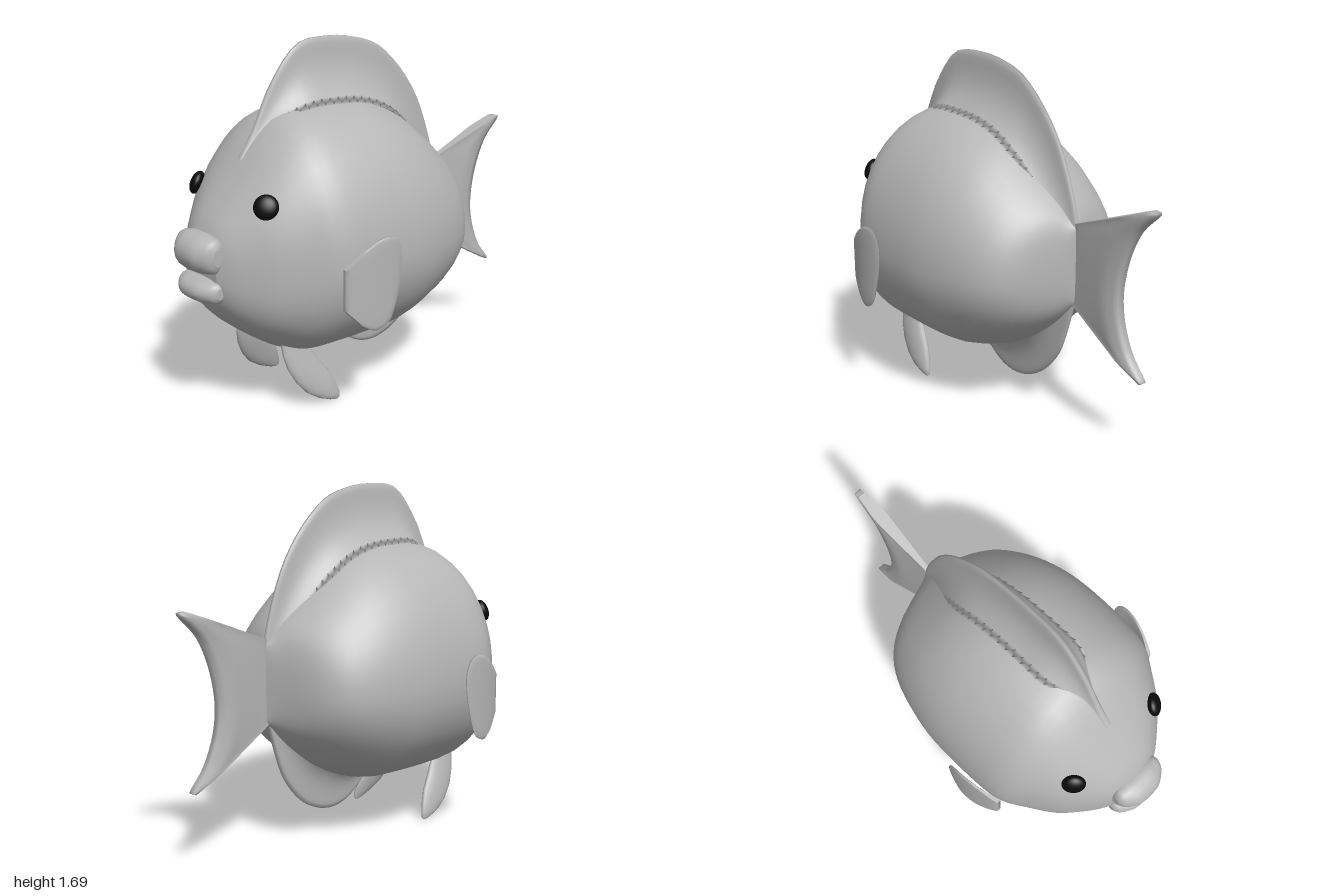
import * as THREE from 'three';

const skin = new THREE.MeshStandardMaterial({ color: 0xb6b6b6 });
skin.name = 'greySkin';
const black = new THREE.MeshStandardMaterial({ color: 0x0a0a0a });
black.name = 'eyeBlack';

// Skin a series of closed rings of [x, y, z]; ends are capped, winding is made outward
function loft(rings) {
  const n = rings[0].length, pos = rings.flat(2), idx = [];
  for (let r = 0; r < rings.length - 1; r++) {
    for (let i = 0; i < n; i++) {
      const a = r * n + i, b = r * n + (i + 1) % n;
      idx.push(a, b, b + n, a, b + n, a + n);
    }
  }
  [rings[0], rings[rings.length - 1]].forEach((ring, end) => {
    const start = pos.length / 3;
    const c = [0, 1, 2].map(k => ring.reduce((sum, p) => sum + p[k], 0) / n);
    pos.push(...ring.flat(), ...c);
    for (let i = 0; i < n; i++) {
      const a = start + i, b = start + (i + 1) % n;
      if (end) idx.push(a, b, start + n); else idx.push(b, a, start + n);
    }
  });
  let volume = 0;
  const A = new THREE.Vector3(), B = new THREE.Vector3(), C = new THREE.Vector3();
  for (let i = 0; i < idx.length; i += 3) {
    A.fromArray(pos, idx[i] * 3); B.fromArray(pos, idx[i + 1] * 3); C.fromArray(pos, idx[i + 2] * 3);
    volume += A.dot(B.cross(C));
  }
  if (volume < 0) idx.reverse();
  const g = new THREE.BufferGeometry();
  g.setAttribute('position', new THREE.Float32BufferAttribute(pos, 3));
  g.setIndex(idx);
  g.computeVertexNormals();
  return g;
}

// Smoothly resample rows of three numbers
function smooth(rows, steps) {
  const curve = new THREE.CatmullRomCurve3(rows.map(r => new THREE.Vector3(...r)), false, 'catmullrom', 0.5);
  return Array.from({ length: steps + 1 }, (_, i) => curve.getPoint(i / steps).toArray());
}

// Fin from stations [baseZ, baseY, tipZ, tipY]; half(s, height) is its half thickness
function fin(stations, half, midX = () => 0, steps = 32) {
  const base = smooth(stations.map(s => [0, s[1], s[0]]), steps);
  const tip = smooth(stations.map(s => [0, s[3], s[2]]), steps);
  const N = 10;
  return loft(base.map((b, k) => {
    const t = tip[k], height = Math.hypot(t[1] - b[1], t[2] - b[2]);
    const point = (s, side) => {
      const y = b[1] + (t[1] - b[1]) * s, z = b[2] + (t[2] - b[2]) * s;
      return [midX(z) + side * half(s, height), y, z];
    };
    const ring = [];
    for (let i = 0; i <= N; i++) ring.push(point(i / N, 1));
    for (let i = N; i >= 0; i--) ring.push(point(i / N, -1));
    return ring;
  }));
}

function bodyGeometry() {
  // z, top, bottom, half width, roundness exponent
  const rows = [
    [0.9, 0.87, 0.61, 0.12, 2.5], [0.86, 0.95, 0.53, 0.19, 2.5], [0.8, 1.03, 0.46, 0.265, 2.5],
    [0.72, 1.13, 0.39, 0.35, 2.5], [0.6, 1.28, 0.305, 0.435, 2.3], [0.48, 1.38, 0.25, 0.51, 2.05],
    [0.32, 1.41, 0.24, 0.53, 2], [0.15, 1.41, 0.24, 0.533, 2], [0, 1.385, 0.25, 0.525, 2],
    [-0.15, 1.32, 0.3, 0.495, 2], [-0.28, 1.22, 0.37, 0.45, 2], [-0.38, 1.13, 0.45, 0.385, 2],
    [-0.45, 1.06, 0.52, 0.28, 2], [-0.5, 1.0, 0.58, 0.11, 2], [-0.53, 0.98, 0.61, 0.012, 2],
  ];
  const heights = smooth(rows.map(r => r.slice(0, 3)), 42);
  const widths = smooth(rows.map(r => [r[0], r[3], r[4]]), 42);
  return loft(heights.map(([z, top, bottom], k) => {
    const [, w, e] = widths[k];
    const mid = bottom + (top - bottom) * 0.435;
    return Array.from({ length: 40 }, (_, i) => {
      const a = i / 40 * Math.PI * 2, c = Math.cos(a), s = Math.sin(a);
      const x = Math.sign(c) * Math.abs(c) ** (2 / e) * w;
      const y = Math.sign(s) * Math.abs(s) ** (2 / e) * (s > 0 ? top - mid : mid - bottom);
      return [x, mid + y, z];
    });
  }));
}

// Rounded lip running across x
function lipGeometry(y, z, ry, rz) {
  const rows = [[-0.14, 0.2, 0.45], [-0.125, 0.5, 0.8], [-0.09, 0.78, 0.92], [-0.045, 0.97, 1],
    [0.045, 0.97, 1], [0.09, 0.78, 0.92], [0.125, 0.5, 0.8], [0.14, 0.2, 0.45]];
  return loft(smooth(rows, 20).map(([x, kz, ky]) => Array.from({ length: 20 }, (_, i) => {
    const a = i / 20 * Math.PI * 2;
    return [x, y + Math.sin(a) * ry * ky, z + Math.cos(a) * rz * kz];
  })));
}

// Paddle hanging below the belly
function pelvicGeometry(side) {
  // y, centre z, half length in z, centre x, half thickness
  const rows = [[0.34, 0.53, 0.07, 0.175, 0.022], [0.28, 0.52, 0.078, 0.185, 0.026], [0.21, 0.49, 0.092, 0.2, 0.03],
    [0.14, 0.447, 0.1, 0.217, 0.03], [0.08, 0.41, 0.088, 0.23, 0.027], [0.035, 0.37, 0.062, 0.24, 0.02],
    [0.008, 0.338, 0.03, 0.242, 0.011], [0, 0.33, 0.012, 0.242, 0.005]];
  return loft(rows.map(([y, z, rz, x, rx]) => Array.from({ length: 20 }, (_, i) => {
    const a = i / 20 * Math.PI * 2;
    return [side * (x + Math.cos(a) * rx), y, z + Math.sin(a) * rz];
  })));
}

export function createModel() {
  const model = new THREE.Group();
  model.name = 'fish';
  const add = (name, geometry, material = skin) => {
    const mesh = new THREE.Mesh(geometry, material);
    mesh.name = name;
    model.add(mesh);
    return mesh;
  };

  add('body', bodyGeometry());
  add('upperLip', lipGeometry(0.81, 0.9, 0.09, 0.1));
  add('lowerLip', lipGeometry(0.642, 0.895, 0.057, 0.09));

  // Back fin flares out where it meets the body
  add('dorsalFin', fin([
    [0.66, 1.18, 0.68, 1.19], [0.55, 1.31, 0.6, 1.31], [0.47, 1.36, 0.5, 1.5], [0.35, 1.395, 0.35, 1.665],
    [0.2, 1.395, 0.17, 1.69], [0.05, 1.38, 0, 1.67], [-0.1, 1.33, -0.15, 1.615], [-0.22, 1.25, -0.3, 1.48],
    [-0.32, 1.15, -0.41, 1.32], [-0.42, 1.04, -0.49, 1.12], [-0.48, 0.94, -0.53, 0.97],
  ], (s, h) => 0.006 + 0.018 * Math.sqrt(1 - s) + 0.105 * Math.min(1, h / 0.27) * (1 - s) ** 3));

  add('analFin', fin([
    [0.14, 0.26, 0.13, 0.235], [0.06, 0.27, 0.06, 0.17], [0, 0.28, -0.02, 0.125], [-0.08, 0.3, -0.11, 0.11],
    [-0.17, 0.34, -0.21, 0.13], [-0.25, 0.38, -0.31, 0.19], [-0.33, 0.44, -0.41, 0.31],
    [-0.41, 0.52, -0.47, 0.46], [-0.47, 0.62, -0.515, 0.62],
  ], (s, h) => 0.008 + 0.014 * Math.sqrt(1 - s) + 0.1 * Math.min(1, h / 0.2) * (1 - s) ** 4 * 0.5));

  // Forked tail, thickest near its trailing edge
  add('tailFin', fin([
    [-0.5, 0.99, -0.97, 1.165], [-0.5, 0.97, -1, 1.15], [-0.5, 0.93, -0.9, 1.045], [-0.5, 0.87, -0.835, 0.9],
    [-0.5, 0.8, -0.805, 0.74], [-0.5, 0.72, -0.82, 0.6], [-0.5, 0.66, -0.875, 0.465],
    [-0.5, 0.62, -0.95, 0.37], [-0.49, 0.61, -0.945, 0.355],
  ], s => s < 0.75 ? 0.01 + 0.034 * s : 0.0355 - 0.07 * (s - 0.75)));

  for (const [side, label] of [[1, 'left'], [-1, 'right']]) {
    // Curved side fin sweeping backwards
    add(label + 'PectoralFin', fin([
      [0.51, 0.77, 0.42, 0.85], [0.51, 0.75, 0.35, 0.885], [0.51, 0.735, 0.27, 0.885], [0.51, 0.71, 0.23, 0.82],
      [0.51, 0.68, 0.23, 0.72], [0.51, 0.65, 0.26, 0.59], [0.51, 0.62, 0.3, 0.5],
      [0.51, 0.6, 0.37, 0.47], [0.51, 0.58, 0.43, 0.495],
    ], s => 0.003 + 0.008 * Math.sqrt(1 - s), z => side * (0.58 - 1.05 * (z - 0.28) ** 2)));

    add(label + 'PelvicFin', pelvicGeometry(side));

    // Flattened eye facing out from the head
    const eye = add(label + 'Eye', new THREE.SphereGeometry(0.056, 24, 16), black);
    eye.position.set(side * 0.268, 1.037, 0.732);
    eye.lookAt(side * 0.968, 1.437, 1.432);
    eye.scale.z = 0.55;
  }
  return model;
}
